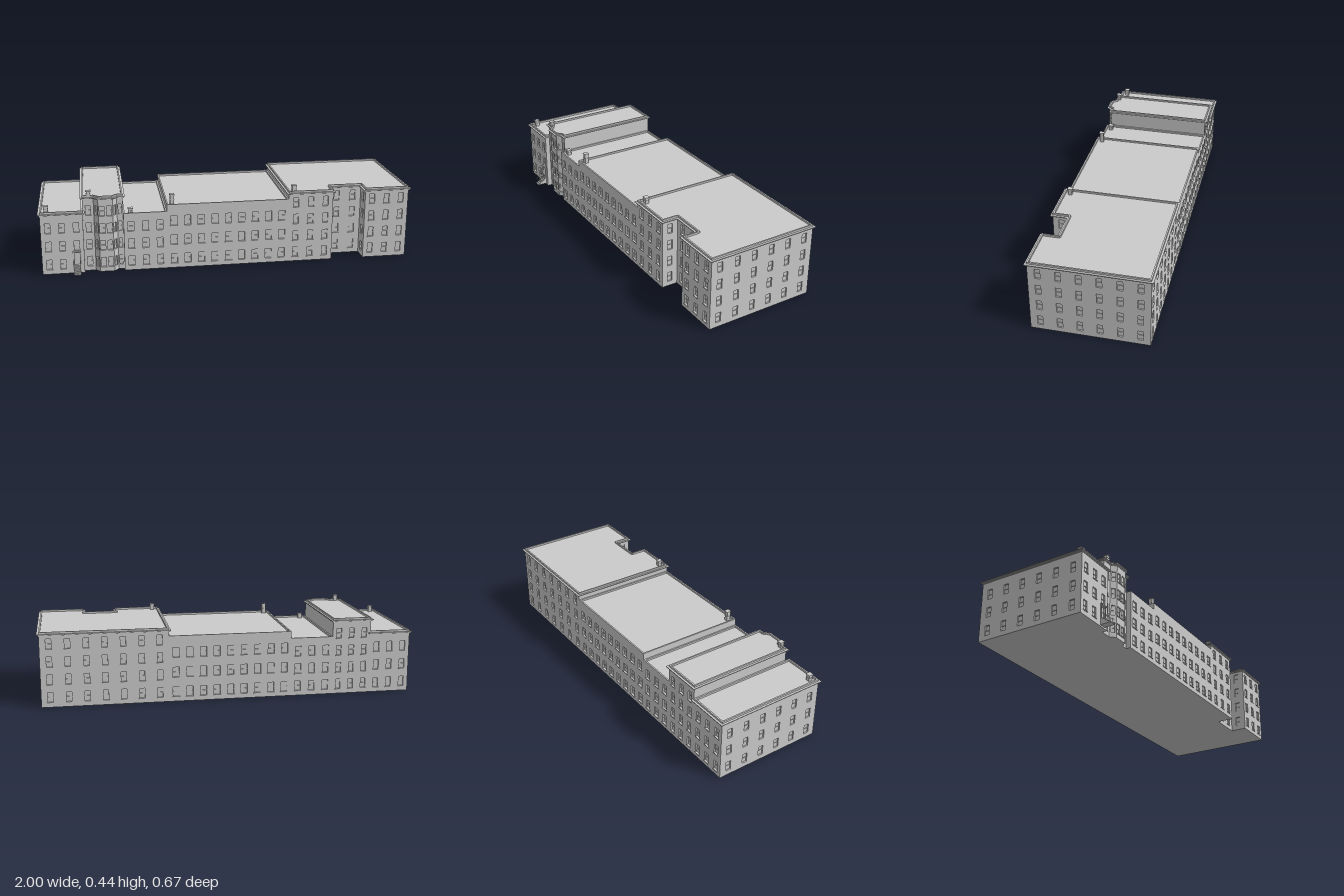
import * as THREE from 'three';
import { mergeGeometries } from 'three/addons/utils/BufferGeometryUtils.js';

const material = new THREE.MeshStandardMaterial({ color: 0xcccccc, side: THREE.DoubleSide });
const BACK = -0.322, FRONT = 0.278, REVEAL = 0.008;

function mesh(name, geometries) {
  const m = new THREE.Mesh(mergeGeometries(geometries.map(g => (g.index ? g.toNonIndexed() : g))), material);
  m.name = name;
  return m;
}

function box(w, h, d, x, y, z) {
  return new THREE.BoxGeometry(w, h, d).translate(x, y, z);
}

// Moves every edge of a plan outline [x, z] outward by d, with mitred corners.
function offset(plan, d) {
  const n = plan.length;
  const normal = (a, b) => {
    const l = Math.hypot(b[0] - a[0], b[1] - a[1]);
    return [-(b[1] - a[1]) / l, (b[0] - a[0]) / l];
  };
  return plan.map((p, i) => {
    const u = normal(plan[(i + n - 1) % n], p), v = normal(p, plan[(i + 1) % n]);
    const k = d / (1 + u[0] * v[0] + u[1] * v[1]);
    return [p[0] + (u[0] + v[0]) * k, p[1] + (u[1] + v[1]) * k];
  });
}

const toVectors = plan => plan.map(([x, z]) => new THREE.Vector2(x, -z));

// Flat slab of a plan at height y.
function slab(plan, y) {
  return new THREE.ShapeGeometry(new THREE.Shape(toVectors(plan))).rotateX(-Math.PI / 2).translate(0, y, 0);
}

// Ring following a plan, from 'inner' to 'outer' offset and y0 to y1.
function ring(plan, inner, outer, y0, y1) {
  const shape = new THREE.Shape(toVectors(offset(plan, outer)));
  shape.holes.push(new THREE.Path(toVectors(offset(plan, inner))));
  return new THREE.ExtrudeGeometry(shape, { depth: y1 - y0, bevelEnabled: false })
    .rotateX(-Math.PI / 2).translate(0, y0, 0);
}

// One wall from a to b, with openings cut through and glazing behind them.
function wall(a, b, height, openings, sills) {
  const dx = b[0] - a[0], dz = b[1] - a[1], length = Math.hypot(dx, dz);
  const rect = (path, x0, y0, x1, y1) =>
    path.moveTo(x0, y0).lineTo(x1, y0).lineTo(x1, y1).lineTo(x0, y1).closePath();
  const shape = new THREE.Shape();
  rect(shape, 0, 0, length, height);
  const walls = [], trim = [];
  for (const { x, y, w, h, door } of openings) {
    const hole = new THREE.Path();
    rect(hole, x - w / 2, y, x + w / 2, y + h);
    shape.holes.push(hole);
    trim.push(new THREE.PlaneGeometry(w, h).translate(x, y + h / 2, -REVEAL + 0.0005));
    if (door) continue;
    trim.push(box(w, 0.002, 0.003, x, y + h / 2, -REVEAL + 0.002));
    if (sills) trim.push(box(w + 0.008, 0.004, 0.004, x, y - 0.002, 0.0015));
  }
  walls.push(new THREE.ExtrudeGeometry(shape, { depth: REVEAL, bevelEnabled: false }).translate(0, 0, -REVEAL));
  const place = new THREE.Matrix4().makeRotationY(Math.atan2(-dz, dx)).setPosition(a[0], 0, a[1]);
  [...walls, ...trim].forEach(g => g.applyMatrix4(place));
  return { walls, trim };
}

// Regular grid of windows on a wall.
function windowGrid(length, columns, rows, pitch, w) {
  const list = [];
  for (let c = 0; c < columns; c++)
    for (let r = 0; r < rows; r++)
      list.push({ x: (length * (c + 0.5)) / columns, y: 0.026 + r * pitch, w, h: 0.053 });
  return list;
}

function buildBlock(s) {
  const group = new THREE.Group();
  group.name = s.name;
  const walls = [], trim = [];
  s.plan.forEach((a, i) => {
    const b = s.plan[(i + 1) % s.plan.length];
    const length = Math.hypot(b[0] - a[0], b[1] - a[1]);
    const openings = windowGrid(length, s.columns[i], s.rows, s.pitch, Math.min(s.width, length * 0.55));
    // The entrance takes the place of a ground floor window.
    if (s.entrance && i === 0) {
      Object.assign(openings[(s.columns[0] - 1) * s.rows], { y: 0.045, w: 0.03, h: 0.066, door: true });
    }
    const part = wall(a, b, s.top, openings, Math.abs(b[0] - a[0]) > 0.05);
    walls.push(...part.walls);
    trim.push(...part.trim);
  });
  group.add(mesh('walls', walls));
  if (trim.length) group.add(mesh('windows', trim));
  group.add(mesh('roof', [slab(s.plan, s.top - 0.01)]));
  group.add(mesh('floor', [slab(s.plan, 0)]));
  group.add(mesh('parapet', [ring(s.plan, -0.006, 0, s.top - 0.012, s.top)]));
  if (s.cornice) {
    const y = s.top - 0.02;
    group.add(mesh('cornice', [
      ring(s.plan, -0.004, 0.004, y, y + 0.003),
      ring(s.plan, -0.004, 0.008, y + 0.003, y + 0.006),
      ring(s.plan, -0.004, 0.011, y + 0.006, y + 0.01),
    ]));
  }
  // Chimney with a band and a cap
  const [cx, ctop] = s.chimney, base = s.top - 0.01, cz = 0.245;
  group.add(mesh('chimney', [
    box(0.021, ctop - base, 0.021, cx, (ctop + base) / 2, cz),
    box(0.024, 0.002, 0.024, cx, base + (ctop - base) * 0.5, cz),
    box(0.027, 0.004, 0.027, cx, ctop - 0.002, cz),
  ]));
  return group;
}

const rectPlan = (x0, x1) => [[x0, FRONT], [x1, FRONT], [x1, BACK], [x0, BACK]];

function buildStairs() {
  const group = new THREE.Group();
  group.name = 'entranceStairs';
  const x = -0.807, width = 0.036, steps = 6, run = 0.057 / steps;
  const treads = [], rails = [];
  for (let i = 0; i < steps; i++) {
    const h = 0.012 + i * 0.0066, z = FRONT + 0.057 - run * (i + 0.5);
    treads.push(box(width, h - 0.008, run, x, 0.008 + (h - 0.008) / 2, z));
    for (const side of [-1, 1])
      rails.push(box(0.0012, 0.026, 0.0012, x + (side * width) / 2, h + 0.013, z));
  }
  // Sloping handrails
  const angle = Math.atan2(0.0066, run);
  for (const side of [-1, 1])
    rails.push(new THREE.BoxGeometry(0.002, 0.002, 0.06).rotateX(angle)
      .translate(x + (side * width) / 2, 0.0545, FRONT + 0.0285));
  group.add(mesh('steps', treads), mesh('railings', rails));
  // Door surround
  group.add(mesh('doorFrame', [
    box(0.004, 0.07, 0.006, x - 0.017, 0.08, FRONT + 0.002),
    box(0.004, 0.07, 0.006, x + 0.017, 0.08, FRONT + 0.002),
    box(0.044, 0.006, 0.01, x, 0.117, FRONT + 0.004),
  ]));
  return group;
}

export function createModel() {
  const model = new THREE.Group();
  model.name = 'building';
  const blocks = [
    { name: 'entranceWing', plan: rectPlan(-0.988, -0.768), columns: [3, 0, 3, 6], rows: 3, pitch: 0.1,
      width: 0.028, top: 0.341, cornice: true, chimney: [-0.955, 0.368], entrance: true },
    // Tower with a canted bay in its front
    { name: 'tower',
      plan: [[-0.768, 0.252], [-0.71, 0.252], [-0.687, FRONT], [-0.612, FRONT], [-0.589, 0.252],
        [-0.558, 0.252], [-0.558, BACK], [-0.768, BACK]],
      columns: [1, 1, 2, 1, 1, 0, 3, 0], rows: 4, pitch: 0.094,
      width: 0.026, top: 0.416, cornice: true, chimney: [-0.735, 0.44] },
    { name: 'lowLink', plan: rectPlan(-0.558, -0.33), columns: [3, 0, 3, 0], rows: 3, pitch: 0.096,
      width: 0.032, top: 0.317, chimney: [-0.52, 0.337] },
    { name: 'mainRange', plan: rectPlan(-0.33, 0.325), columns: [9, 0, 9, 0], rows: 3, pitch: 0.106,
      width: 0.034, top: 0.354, chimney: [-0.3, 0.402] },
    // End wing with a recess in its front
    { name: 'endWing',
      plan: [[0.325, FRONT], [0.568, FRONT], [0.568, 0.19], [0.747, 0.19], [0.747, FRONT],
        [0.988, FRONT], [0.988, BACK], [0.325, BACK]],
      columns: [3, 1, 2, 1, 3, 6, 7, 0], rows: 4, pitch: 0.094,
      width: 0.028, top: 0.397, cornice: true, chimney: [0.358, 0.422] },
  ];
  blocks.forEach(b => model.add(buildBlock(b)));
  model.add(buildStairs());
  return model;
}
